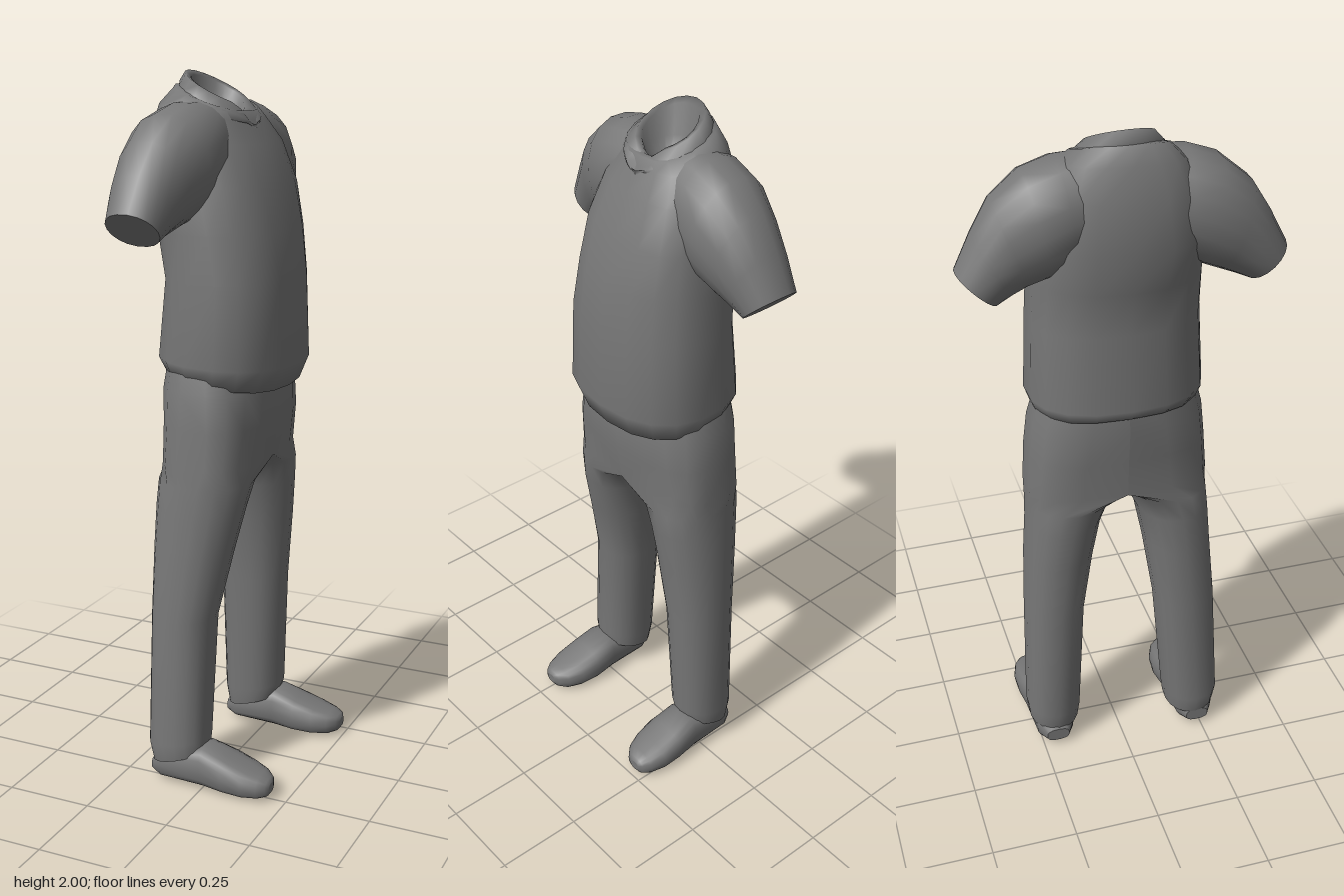
import * as THREE from 'three';

const SIDES = 18;
const material = new THREE.MeshStandardMaterial({ color: 0x777777, side: THREE.DoubleSide });

// Ring of points from a rule of (cos, sin)
function ring(rule) {
  return Array.from({ length: SIDES }, (_, i) => {
    const a = (i / SIDES) * Math.PI * 2;
    return rule(Math.cos(a), Math.sin(a));
  });
}

// Skin through rings, with optional end caps; faces turned outward by signed volume
function loft(name, rings, capStart = false, capEnd = false) {
  const pos = rings.flat(2), index = [], n = SIDES;
  const onSeam = (i) => Math.abs(pos[i * 3 + 2]) < 1e-6;
  for (let r = 0; r + 1 < rings.length; r++) {
    for (let i = 0; i < n; i++) {
      const a = r * n + i, b = r * n + (i + 1) % n, c = a + n, d = b + n;
      if ([a, b, c, d].every(onSeam)) continue; // hidden wall between the legs
      index.push(a, b, c, b, d, c);
    }
  }
  const cap = (points, flip) => {
    const base = pos.length / 3;
    const mid = [0, 1, 2].map((k) => points.reduce((s, p) => s + p[k], 0) / n);
    pos.push(...points.flat(), ...mid);
    for (let i = 0; i < n; i++) {
      const a = base + i, b = base + (i + 1) % n;
      index.push(...(flip ? [b, a, base + n] : [a, b, base + n]));
    }
  };
  if (capStart) cap(rings[0], true);
  if (capEnd) cap(rings[rings.length - 1], false);

  const v = (i) => new THREE.Vector3().fromArray(pos, i * 3);
  const origin = v(0);
  let volume = 0;
  for (let i = 0; i < index.length; i += 3) {
    const [p, q, s] = [0, 1, 2].map((k) => v(index[i + k]).sub(origin));
    volume += p.dot(q.cross(s));
  }
  if (volume < 0) index.reverse();
  const geometry = new THREE.BufferGeometry();
  geometry.setAttribute('position', new THREE.Float32BufferAttribute(pos, 3));
  geometry.setIndex(index);
  geometry.computeVertexNormals();
  const mesh = new THREE.Mesh(geometry, material);
  mesh.name = name;
  return mesh;
}

const soft = (t, e) => Math.sign(t) * Math.abs(t) ** e;

// Body section: rounded oval, tilted down to the front and turned by a shear
function bodyRing([y, cx, rx, rz, tilt = 0, shear = 0, e = 0.85]) {
  return ring((c, s) => {
    const dx = rx * soft(c, e), z = rz * soft(s, e);
    return [cx + dx - shear * z, y - tilt * dx, z];
  });
}

function shirt() {
  const group = new THREE.Group();
  group.name = 'shirt';
  group.add(loft('shirtBody', [
    [1.19, -0.025, 0.15, 0.2, 0.16],
    [1.175, -0.025, 0.172, 0.228, 0.16],
    [1.225, -0.02, 0.194, 0.247, 0.05],
    [1.45, -0.013, 0.178, 0.237],
    [1.58, -0.03, 0.178, 0.231, 0, 0.04],
    [1.7, -0.058, 0.175, 0.22, 0, 0.08, 0.75],
    [1.82, -0.075, 0.147, 0.2, 0.08, 0.12, 0.8],
    [1.895, -0.085, 0.117, 0.165, 0.22, 0.12],
    [1.93, -0.075, 0.102, 0.125, 0.35, 0.05],
    [1.93, -0.07, 0.075, 0.085, 0.5],
  ].map(bodyRing)));

  // Folded collar, dipping to a notch at the front
  const collar = [
    [1.905, -0.065, 0.108, 0.118, 0.42, 0, 1],
    [1.925, -0.065, 0.11, 0.118, 0.45, 0, 1],
    [1.955, -0.072, 0.088, 0.09, 0.52, 0, 1],
    [1.95, -0.072, 0.072, 0.074, 0.52, 0, 1],
    [1.89, -0.072, 0.062, 0.064, 0.2, 0, 1],
    [1.86, -0.072, 0.03, 0.03, 0, 0, 1],
  ].map(bodyRing);
  for (const r of collar.slice(1, 4)) {
    for (const p of r) {
      if (p[0] > -0.04 && Math.abs(p[2]) < 0.05) p[1] -= 0.03 * (1 - Math.abs(p[2]) / 0.05);
    }
  }
  group.add(loft('collar', collar, false, true));

  // Sleeves flow out of the shoulders: [z, y, half depth, lean of the section in z and y]
  const sleeve = (name, side, xs, drop) => {
    const rings = [
      [0.06, 1.8, 0.1, 0.01, 0.125],
      [0.15, 1.783, 0.125, 0.02, 0.138],
      [0.225, 1.752, 0.125, 0.028, 0.143],
      [0.29, 1.71, 0.105, 0.042, 0.12],
      [0.337, 1.66, 0.09, 0.047, 0.085],
      [0.38, 1.605, 0.075, 0.052, 0.047],
    ].map(([z, y, rx, vz, vy], k) => ring((c, s) =>
      [xs[k] + rx * soft(c, 0.9), y - drop * (k / 5) + vy * s, side * (z + vz * s)]));
    group.add(loft(name, rings, false, true));
  };
  sleeve('leftSleeve', 1, [-0.085, -0.095, -0.108, -0.12, -0.13, -0.135], 0);
  sleeve('rightSleeve', -1, [-0.075, -0.075, -0.07, -0.065, -0.07, -0.075], 0.012);
  return group;
}

// Each leg runs from half of the shared hip oval down to a trouser hem
function trouserLeg(name, side, sections) {
  const hips = [
    [1.25, -0.04, 0.14, 0.22, 0.85],
    [1.15, -0.035, 0.155, 0.246, 0.8],
    [1.05, -0.032, 0.148, 0.256, 0.72],
    [0.94, -0.038, 0.137, 0.262, 0.65],
  ].map(([y, cx, rx, rz, e]) => ring((c, s) =>
    [cx + rx * soft(c, e), y, s > 1e-6 ? side * rz * soft(s, e) : 0]));
  // [y, back x, front x, inner z, outer z, hem rise]
  const legs = sections.map(([y, x0, x1, z0, z1, rise = 0]) => ring((c, s) => {
    const dx = (x1 - x0) / 2 * soft(c, 0.92);
    return [(x0 + x1) / 2 + dx, y + rise * dx, side * ((z0 + z1) / 2 + (z1 - z0) / 2 * soft(s, 0.92))];
  }));
  return loft(name, [...hips, ...legs], false, true);
}

// Shoe sections run heel to toe: [x, z shift, half width, bottom, top]
function shoe(name, side, x0, z0) {
  return loft(name, [
    [-0.165, 0, 0.035, 0.018, 0.06],
    [-0.13, 0, 0.058, 0.006, 0.1],
    [0, 0, 0.066, 0.003, 0.128],
    [0.07, 0, 0.073, 0, 0.105],
    [0.13, 0.003, 0.069, 0, 0.085],
    [0.175, 0.006, 0.054, 0.004, 0.072],
    [0.198, 0.01, 0.034, 0.012, 0.062],
    [0.205, 0.012, 0.016, 0.022, 0.05],
  ].map(([x, dz, w, b, t]) => ring((c, s) =>
    [x + x0, (b + t) / 2 + (t - b) / 2 * soft(s, 0.7), side * (z0 + dz + w * soft(c, 0.8))])), true, true);
}

export function createModel() {
  const model = new THREE.Group();
  model.name = 'clothedFigure';
  model.add(shirt());

  const trousers = new THREE.Group();
  trousers.name = 'trousers';
  trousers.add(trouserLeg('leftTrouserLeg', 1, [
    [0.89, -0.177, 0.094, 0.026, 0.266],
    [0.82, -0.178, 0.08, 0.06, 0.271],
    [0.7, -0.18, 0.052, 0.082, 0.278],
    [0.5, -0.18, 0.008, 0.11, 0.293],
    [0.13, -0.18, 0, 0.143, 0.315, 0.15],
    [0.08, -0.168, -0.005, 0.15, 0.308, 0.28],
  ]));
  trousers.add(trouserLeg('rightTrouserLeg', -1, [
    [0.89, -0.173, 0.098, 0.022, 0.263],
    [0.82, -0.167, 0.092, 0.05, 0.264],
    [0.7, -0.155, 0.08, 0.072, 0.272],
    [0.5, -0.14, 0.06, 0.1, 0.278],
    [0.13, -0.135, 0.045, 0.118, 0.284, 0.15],
    [0.08, -0.125, 0.035, 0.125, 0.278, 0.28],
  ]));
  model.add(trousers);

  model.add(shoe('leftShoe', 1, 0, 0.237), shoe('rightShoe', -1, 0.035, 0.207));
  return model;
}
